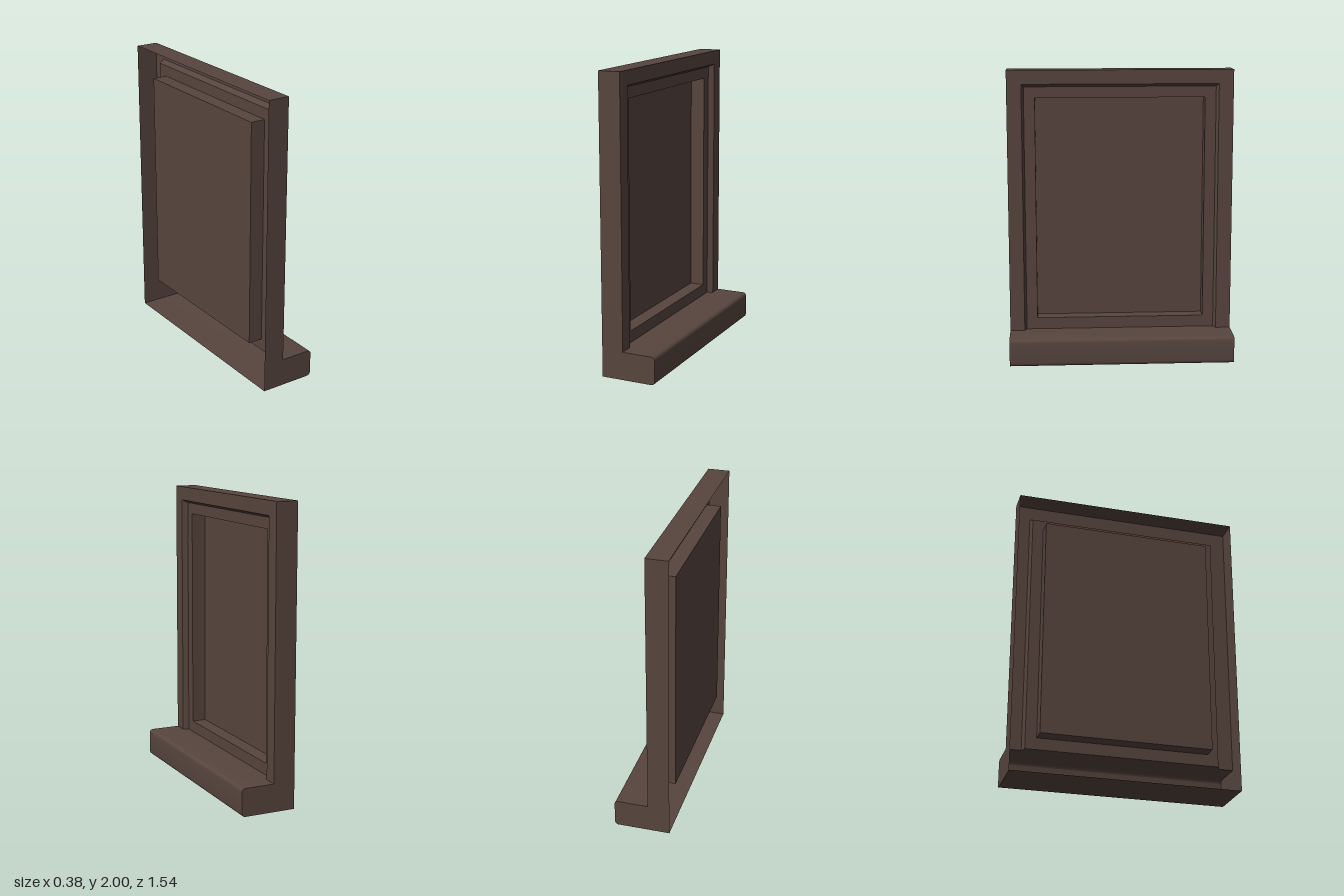
import * as THREE from 'three';
import { toCreasedNormals } from 'three/addons/utils/BufferGeometryUtils.js';

const HALF = 0.77, BACK = -0.19, FACE = -0.04, SILL = 0.19, TOP = 2;

// Rectangle facing +x, corners counter-clockwise
function ring(x, half, y0, y1) {
  return [[x, y0, half], [x, y0, -half], [x, y1, -half], [x, y1, half]];
}

// Flat quads as one geometry
function quads(list) {
  const pos = [];
  for (const [a, b, c, d] of list) pos.push(...a, ...b, ...c, ...a, ...c, ...d);
  const g = new THREE.BufferGeometry();
  g.setAttribute('position', new THREE.Float32BufferAttribute(pos, 3));
  g.computeVertexNormals();
  return g;
}

// Four quads joining an outer ring to an inner ring
function band(a, b) {
  return quads([0, 1, 2, 3].map(i => [a[i], a[(i + 1) % 4], b[(i + 1) % 4], b[i]]));
}

export function createModel() {
  const model = new THREE.Group();
  model.name = 'windowFrame';
  const wood = new THREE.MeshStandardMaterial({ color: 0x57453e, side: THREE.DoubleSide });
  wood.name = 'darkBrown';
  const add = (name, geometry) => {
    const mesh = new THREE.Mesh(geometry, wood);
    mesh.name = name;
    model.add(mesh);
    return mesh;
  };

  // Front of the frame, stepping back to the recessed panel
  const steps = [
    ring(FACE, HALF, SILL, TOP),
    ring(FACE, 0.67, SILL, 1.905),
    ring(-0.08, 0.655, SILL, 1.885),
    ring(-0.08, 0.58, 0.27, 1.81),
    ring(-0.18, 0.58, 0.27, 1.81),
  ];
  ['frameFace', 'openingBevel', 'innerLedge', 'panelRecess'].forEach((name, i) =>
    add(name, band(steps[i], steps[i + 1])));
  add('panel', quads([steps[4]]));

  // Top of the frame; the back stays open
  add('frameTop', quads([[
    [BACK, TOP, -HALF], [BACK, TOP, HALF], [FACE, TOP, HALF], [FACE, TOP, -HALF],
  ]]));

  // Sill with a rounded nose, swept along z
  const r = 0.025, nose = 0.19;
  const path = new THREE.Path();
  path.moveTo(BACK, 0);
  path.lineTo(nose - r, 0);
  path.absarc(nose - r, r, r, -Math.PI / 2, 0, false);
  path.absarc(nose - r, SILL - r, r, 0, Math.PI / 2, false);
  path.lineTo(FACE, SILL);
  const profile = path.getPoints(6);
  const strips = [];
  for (let i = 0; i < profile.length - 1; i++) {
    const p = profile[i], q = profile[i + 1];
    if (p.distanceTo(q) < 1e-6) continue;
    strips.push([[p.x, p.y, -HALF], [q.x, q.y, -HALF], [q.x, q.y, HALF], [p.x, p.y, HALF]]);
  }
  add('sill', toCreasedNormals(quads(strips), 0.6));

  // L-shaped end walls
  const end = new THREE.Shape([
    ...profile, new THREE.Vector2(FACE, TOP), new THREE.Vector2(BACK, TOP),
  ]);
  const front = new THREE.ShapeGeometry(end);
  front.translate(0, 0, HALF);
  add('frontEnd', front);
  const rear = new THREE.ShapeGeometry(end);
  const idx = rear.index.array;
  for (let i = 0; i < idx.length; i += 3) [idx[i], idx[i + 1]] = [idx[i + 1], idx[i]];
  rear.computeVertexNormals();
  rear.translate(0, 0, -HALF);
  add('rearEnd', rear);

  return model;
}
